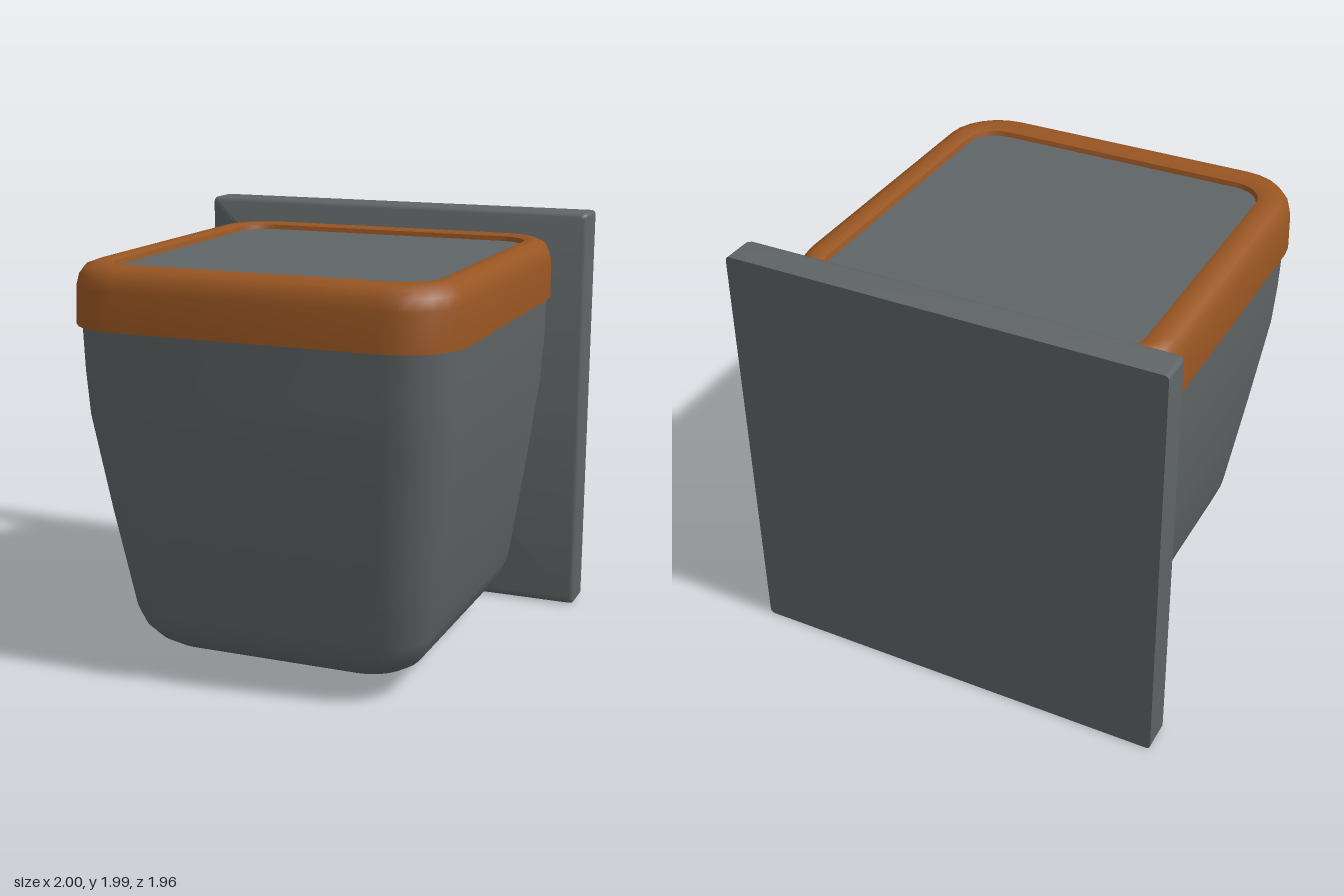
import * as THREE from 'three';
import { toCreasedNormals } from 'three/addons/utils/BufferGeometryUtils.js';

const STEPS = 6; // segments per rounded corner

// Rounded rectangle at height y, running from +x towards +z
function ring([y, hx, zFront, zBack, r]) {
  const corners = [[hx - r, zFront - r], [r - hx, zFront - r], [r - hx, zBack + r], [hx - r, zBack + r]];
  const points = [];
  corners.forEach(([cx, cz], q) => {
    for (let i = 0; i <= STEPS; i++) {
      const a = (q + i / STEPS) * Math.PI / 2;
      points.push([cx + r * Math.cos(a), y, cz + r * Math.sin(a)]);
    }
  });
  return points;
}

// Skin a stack of rounded rectangles, with optional flat end caps
function loft(sections, capBottom, capTop, crease = 0.75) {
  const n = 4 * (STEPS + 1);
  const positions = sections.flatMap(ring).flat();
  const index = [];
  for (let j = 0; j < sections.length - 1; j++) {
    for (let i = 0; i < n; i++) {
      const a = j * n + i, b = j * n + (i + 1) % n;
      index.push(a, a + n, b, b, a + n, b + n);
    }
  }
  const last = (sections.length - 1) * n;
  for (let i = 1; i < n - 1; i++) {
    if (capBottom) index.push(0, i, i + 1);
    if (capTop) index.push(last, last + i + 1, last + i);
  }
  const geometry = new THREE.BufferGeometry();
  geometry.setAttribute('position', new THREE.Float32BufferAttribute(positions, 3));
  geometry.setIndex(index);
  return toCreasedNormals(geometry, crease);
}

export function createModel() {
  const group = new THREE.Group();
  const grey = new THREE.MeshStandardMaterial({ name: 'slate grey', color: 0x5f6466 });
  const brown = new THREE.MeshStandardMaterial({ name: 'rust brown', color: 0x985522 });
  const add = (name, geometry, material) => {
    const mesh = new THREE.Mesh(geometry, material);
    mesh.name = name;
    group.add(mesh);
    return mesh;
  };

  // Square wall plate with softened front edges
  const plate = loft([
    [-0.98, 1, 0, -1.99, 0.02],
    [-0.84, 1, 0, -1.99, 0.02],
    [-0.82, 0.994, -0.006, -1.984, 0.02],
    [-0.81, 0.98, -0.02, -1.97, 0.02],
  ], true, true);
  plate.rotateX(Math.PI / 2);
  add('wallPlate', plate, grey);

  // Tapered tub: sloping front and sides, upright back, rounded base
  add('tub', loft([
    [0.085, 0.5, 0.59, -0.58, 0.14],
    [0.1, 0.575, 0.655, -0.655, 0.17],
    [0.14, 0.635, 0.715, -0.71, 0.2],
    [0.2, 0.68, 0.76, -0.755, 0.21],
    [0.28, 0.71, 0.79, -0.805, 0.22],
    [0.75, 0.78, 0.862, -0.815, 0.22],
    [1.2, 0.845, 0.925, -0.82, 0.23],
    [1.4, 0.86, 0.937, -0.82, 0.24],
    [1.63, 0.868, 0.947, -0.82, 0.25],
  ], true, false), grey);

  // Thick rounded collar around the opening
  add('rim', loft([
    [1.615, 0.85, 0.93, -0.81, 0.25],
    [1.61, 0.89, 0.98, -0.83, 0.28],
    [1.78, 0.888, 0.972, -0.83, 0.28],
    [1.83, 0.875, 0.96, -0.83, 0.27],
    [1.865, 0.85, 0.935, -0.82, 0.25],
    [1.88, 0.81, 0.89, -0.8, 0.22],
    [1.88, 0.77, 0.83, -0.765, 0.17],
    [1.87, 0.745, 0.8, -0.745, 0.15],
    [1.84, 0.737, 0.79, -0.738, 0.14],
  ], false, false), brown);

  // Flat panel closing the opening, slightly recessed
  add('topPanel', loft([
    [1.84, 0.745, 0.8, -0.745, 0.14],
    [1.848, 0.745, 0.8, -0.745, 0.14],
  ], true, true), grey);

  return group;
}
